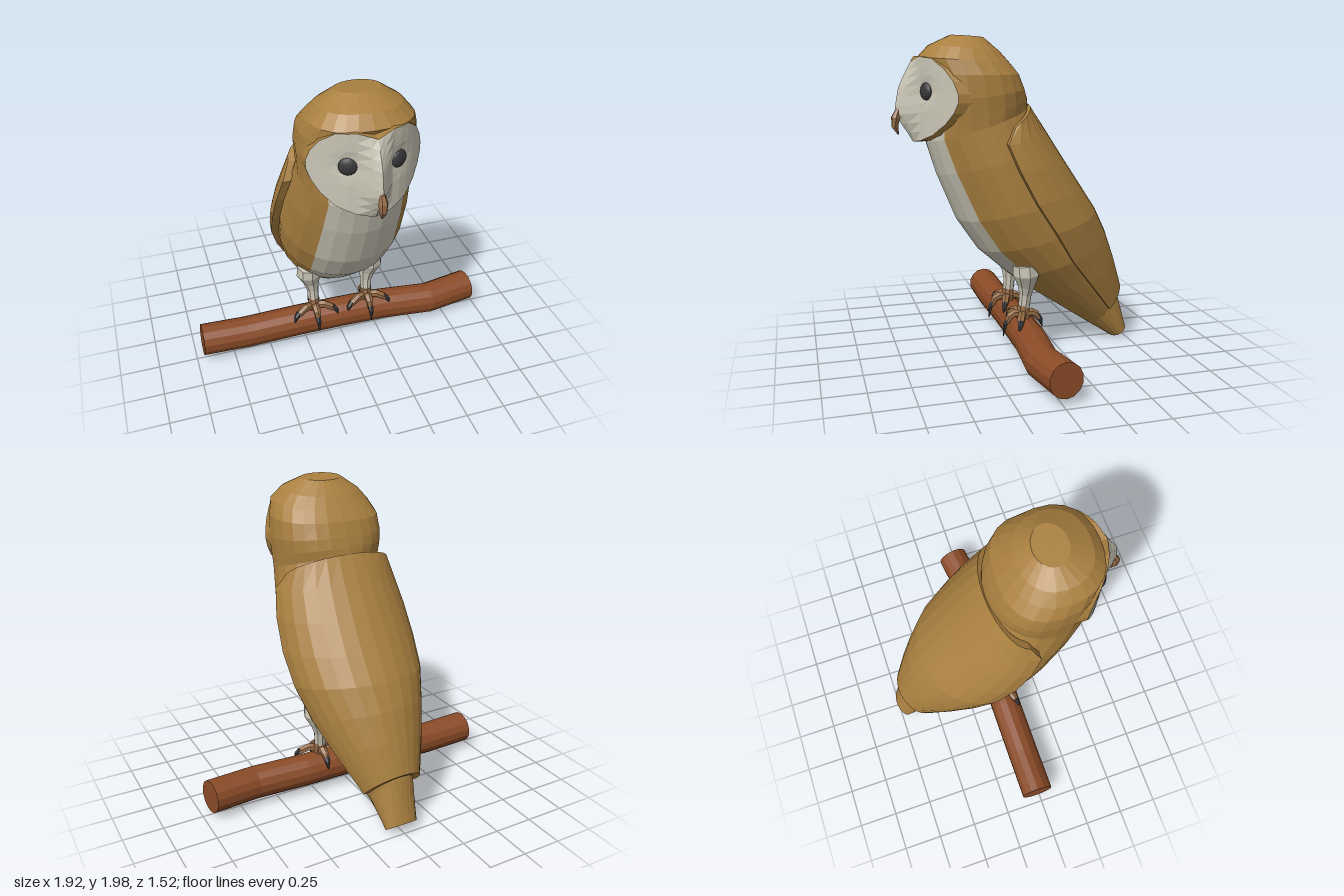
import * as THREE from 'three';

const mat = (name, color, side = THREE.FrontSide) => {
  const m = new THREE.MeshStandardMaterial({ color, side });
  m.name = name;
  return m;
};

// Faceted skin over a list of rings; keep(i, j) picks the quads to build
function skin(rings, { closed = true, caps = false, keep = () => true } = {}) {
  const pos = [];
  const tri = (...pts) => pts.forEach(p => pos.push(p.x, p.y, p.z));
  const n = rings[0].length;
  for (let i = 0; i < rings.length - 1; i++) {
    for (let j = 0; j < (closed ? n : n - 1); j++) {
      if (!keep(i, j)) continue;
      const k = (j + 1) % n;
      const a = rings[i][j], b = rings[i + 1][j], c = rings[i + 1][k], d = rings[i][k];
      tri(a, b, d);
      tri(b, c, d);
    }
  }
  if (caps) {
    [rings[0], rings[rings.length - 1]].forEach((r, end) => {
      const mid = r.reduce((s, p) => s.add(p), new THREE.Vector3()).divideScalar(n);
      r.forEach((p, j) => (end ? tri(mid, r[(j + 1) % n], p) : tri(mid, p, r[(j + 1) % n])));
    });
  }
  const g = new THREE.BufferGeometry();
  g.setAttribute('position', new THREE.Float32BufferAttribute(pos, 3));
  g.computeVertexNormals();
  return g;
}

// Round limb through points with a radius at each
function limb(path, radii, sides, ref) {
  const pts = path.map(p => new THREE.Vector3(...p));
  return skin(pts.map((p, i) => {
    const t = pts[Math.min(i + 1, pts.length - 1)].clone().sub(pts[Math.max(i - 1, 0)]).normalize();
    const u = new THREE.Vector3(...ref);
    u.addScaledVector(t, -u.dot(t)).normalize();
    const v = u.clone().cross(t);
    return Array.from({ length: sides }, (_, j) => {
      const a = (j / sides) * Math.PI * 2;
      return p.clone().addScaledVector(u, radii[i] * Math.cos(a)).addScaledVector(v, radii[i] * Math.sin(a));
    });
  }), { caps: true });
}

// Linear lookup in [[key, value], ...]
function lookup(table, x) {
  for (let i = 1; i < table.length; i++) {
    const [x0, y0] = table[i - 1], [x1, y1] = table[i];
    if (x <= x1) return y0 + (y1 - y0) * Math.max(0, (x - x0) / (x1 - x0));
  }
  return table[table.length - 1][1];
}

export function createModel() {
  const owl = new THREE.Group();
  owl.name = 'owlOnBranch';
  const gold = mat('goldenFeather', 0xaa8040);
  const white = mat('paleFeather', 0xc9c5b5);
  const dark = mat('eyeAndClaw', 0x38383c);
  const skinTone = mat('beakAndToe', 0x966c46);
  const bark = mat('bark', 0x8a4b27);
  const add = (name, geo, material) => {
    const m = new THREE.Mesh(geo, material);
    m.name = name;
    owl.add(m);
    return m;
  };

  // Head, body and tail: front z, front y, back z, back y, half width, roundness power
  const half = [0, 14, 28, 41, 58, 74, 90, 106, 122, 138, 152, 166];
  const angles = [...half, 180, ...half.slice(1).reverse().map(a => 360 - a)];
  const bodyRings = [
    [.40, 1.985, .20, 1.97, .13, 1],
    [.53, 1.925, .11, 1.89, .24, .9],
    [.595, 1.855, .05, 1.82, .3, .85],
    [.55, 1.76, 0, 1.755, .332, .8],
    [.55, 1.6, -.035, 1.67, .34, .8],
    [.55, 1.47, -.055, 1.61, .333, .85],
    [.56, 1.36, -.065, 1.56, .33, .95],
    [.5, 1.16, -.18, 1.36, .36, 1],
    [.38, .87, -.38, 1.06, .385, 1],
    [.245, .67, -.49, .88, .37, 1],
    [.06, .505, -.56, .72, .33, 1],
    [-.06, .41, -.62, .56, .27, 1],
    [-.3, .25, -.66, .43, .2, 1],
    [-.5, .115, -.69, .34, .14, 1],
    [-.66, .01, -.76, .085, .105, 1],
  ].map(([zf, yf, zb, yb, w, p]) => angles.map(deg => {
    const a = deg * Math.PI / 180, bend = v => Math.sign(v) * Math.abs(v) ** p;
    const s = bend(Math.sin(a)), c = bend(Math.cos(a));
    return new THREE.Vector3(w * s, (yf + yb) / 2 + (yf - yb) / 2 * c, (zf + zb) / 2 + (zf - zb) / 2 * c);
  }));
  const isChest = (i, j) => i >= 5 && i < 10 && (j < 3 || j >= angles.length - 3);
  add('headBodyAndTail', skin(bodyRings, { caps: true, keep: (i, j) => !isChest(i, j) }), gold);
  add('chest', skin(bodyRings, { keep: isChest }), white);

  // Folded wings: edge z, edge y, back z, back y, half width
  const wingRows = [
    [.09, 1.46, -.07, 1.575, .345],
    [.145, 1.36, -.18, 1.41, .395],
    [.08, 1.2, -.30, 1.225, .425],
    [-.02, 1.01, -.41, 1.06, .435],
    [-.14, .83, -.51, .91, .42],
    [-.27, .63, -.585, .76, .36],
    [-.42, .45, -.65, .585, .285],
    [-.585, .25, -.71, .39, .19],
  ];
  const wingArc = ([ze, ye, zb, yb, w], inset) => Array.from({ length: 8 }, (_, j) => {
    const a = j / 7 * Math.PI / 2, s = Math.sin(a) * (1 - inset * 2);
    return new THREE.Vector3((w - inset) * Math.cos(a), ye + (yb - ye) * s, ze + (zb - ze) * s);
  });
  const wingRing = (row, thick) => [...wingArc(row, thick ? 0 : .05), ...wingArc(row, .05).reverse()];
  const wing = [wingRing(wingRows[0], false), ...wingRows.map(r => wingRing(r, true)), wingRing(wingRows[7], false)];
  const mirrored = wing.map(r => r.map(p => new THREE.Vector3(-p.x, p.y, p.z)).reverse());
  add('leftWing', skin(wing), gold);
  add('rightWing', skin(mirrored), gold);

  // Heart-shaped face with a central ridge and shallow eye hollows
  const upper = [[0, 1.83], [.1, 1.86], [.2, 1.85], [.27, 1.79], [.31, 1.72], [.33, 1.65]];
  const lower = [[0, 1.355], [.1, 1.37], [.2, 1.41], [.27, 1.475], [.31, 1.54], [.33, 1.6]];
  const ridge = [[1.36, .01], [1.45, .07], [1.53, .12], [1.69, .09], [1.86, 0]];
  const faceZ = (x, y) => .625 - 1.85 * x * x
    + lookup(ridge, y) * Math.max(0, 1 - Math.abs(x) / .1)
    - .02 * Math.exp(-((Math.abs(x) - .143) ** 2 + (y - 1.66) ** 2) / .004);
  const side = [.035, .1, .15, .2, .24, .27, .31, .33];
  const xs = [...side.map(x => -x).reverse(), 0, ...side];
  const faceRows = Array.from({ length: 10 }, (_, i) => xs.map(x => {
    const y = THREE.MathUtils.lerp(lookup(upper, Math.abs(x)), lookup(lower, Math.abs(x)), i / 9);
    return new THREE.Vector3(x, y, faceZ(x, y));
  }));
  add('face', skin(faceRows, { closed: false }), white);
  const rim = [...faceRows[9], ...faceRows[0].slice().reverse()];
  add('faceRim', skin([rim, rim.map(p => new THREE.Vector3(p.x, p.y, p.z - .1))]), gold);

  // Hooked beak
  add('beak', limb([[0, 1.55, .72], [0, 1.5, .737], [0, 1.45, .742], [0, 1.4, .722]],
    [.014, .028, .022, .004], 6, [1, 0, 0]), skinTone);

  for (const s of [1, -1]) {
    const label = s > 0 ? 'left' : 'right';
    // Eye
    const eye = add(label + 'Eye', new THREE.IcosahedronGeometry(.052, 2), dark);
    eye.scale.z = .45;
    eye.position.set(s * .143, 1.66, .575);
    eye.rotation.y = s * .4;

    // Feathered leg
    add(label + 'Leg', limb([[s * .21, .6, -.01], [s * .21, .54, -.015], [s * .195, .46, -.02],
      [s * .188, .4, -.015], [s * .185, .3, -.005]], [.08, .085, .055, .04, .036], 8, [1, 0, 0]), white);
    add(label + 'Ankle', limb([[s * .185, .33, -.005], [s * .185, .25, 0]], [.038, .042], 8, [1, 0, 0]), skinTone);

    // Toes and claws: reach in x, reach in z, toe end height, claw tip height
    [[-.12, .05, .25, .2], [0, .1, .225, .14], [.12, .05, .25, .2], [0, -.1, .235, .18]].forEach(([dx, dz, yEnd, yTip], i) => {
      const at = (f, y) => [s * .185 + dx * f, y, dz * f];
      add(`${label}Toe${i + 1}`, limb([at(0, .275), at(.55, .282), at(.85, .265), at(1.03, yEnd)],
        [.028, .026, .024, .018], 6, [0, 1, 0]), skinTone);
      add(`${label}Claw${i + 1}`, limb([at(.96, yEnd + .015), at(1.15, yEnd - .01), at(1.27, yTip)],
        [.02, .016, .003], 6, [0, 1, 0]), dark);
    });
  }

  // Branch perch
  add('branch', limb([[-.95, .15, -.02], [-.65, .138, -.02], [-.3, .147, -.02], [0, .15, -.015],
    [.3, .147, -.01], [.64, .138, .02], [.95, .15, -.02]], Array(7).fill(.104), 14, [0, 1, 0]), bark);

  return owl;
}
